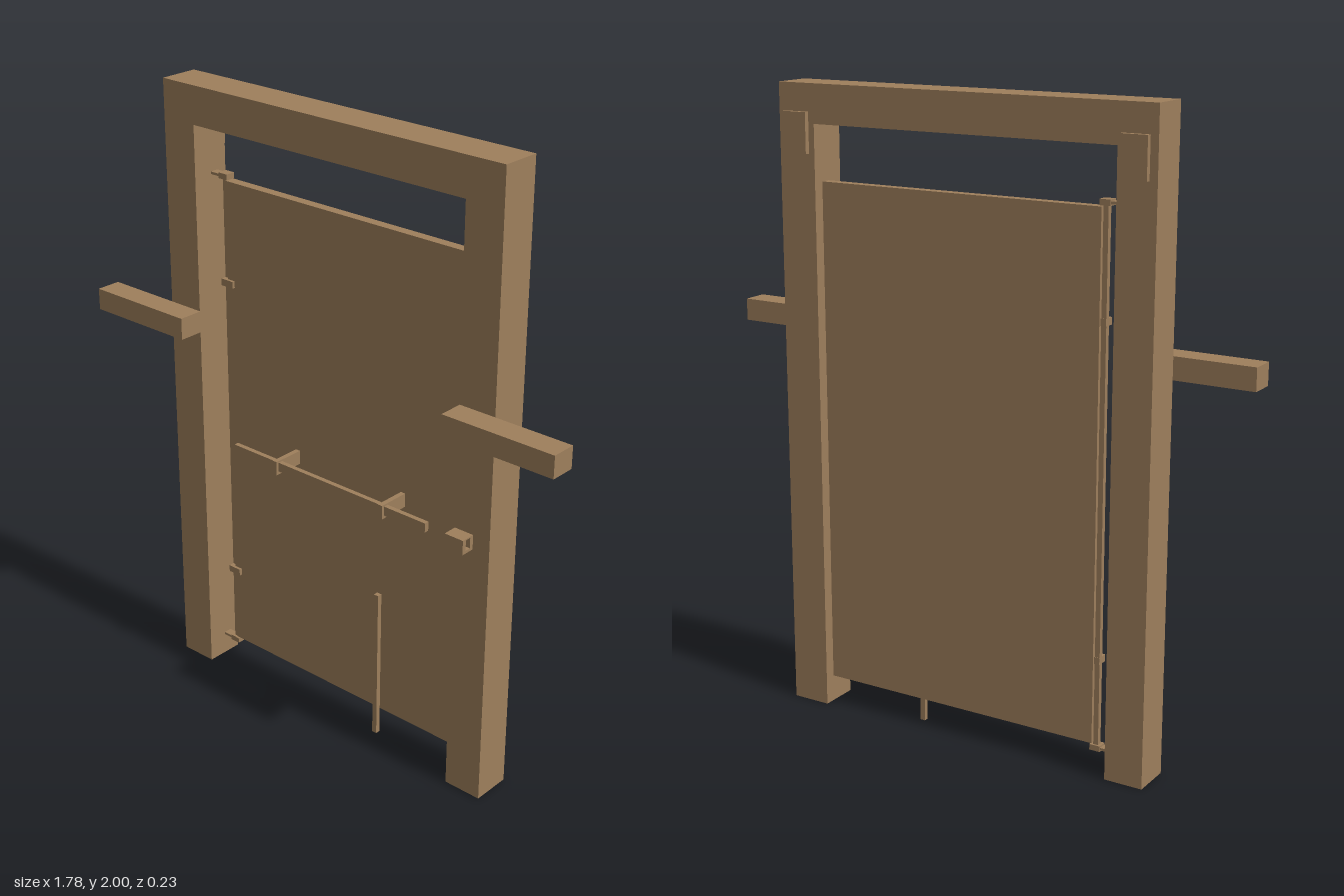
import * as THREE from 'three';

export function createModel() {
  const group = new THREE.Group();
  const wood = new THREE.MeshStandardMaterial({ color: 0x9e7f5c });
  wood.name = 'weathered wood';

  const add = (name, geometry) => {
    const mesh = new THREE.Mesh(geometry, wood);
    mesh.name = name;
    group.add(mesh);
    return mesh;
  };

  // Box given by its lower and upper limits on each axis
  const box = (name, x0, x1, y0, y1, z0, z1) => {
    const g = new THREE.BoxGeometry(x1 - x0, y1 - y0, z1 - z0);
    g.translate((x0 + x1) / 2, (y0 + y1) / 2, (z0 + z1) / 2);
    return add(name, g);
  };

  const outline = (points) => new THREE.Shape(points.map(([x, y]) => new THREE.Vector2(x, y)));

  // Door frame: two posts and a lintel in one piece
  const frame = outline([
    [-0.638, 0], [-0.514, 0], [-0.514, 1.88], [0.508, 1.88],
    [0.508, 0], [0.635, 0], [0.635, 2], [-0.638, 2],
  ]);
  const frameGeometry = new THREE.ExtrudeGeometry(frame, { depth: 0.128, bevelEnabled: false });
  frameGeometry.translate(0, 0, -0.098);
  add('doorFrame', frameGeometry);

  // Door leaf and the stop strip at its free edge
  box('doorPanel', -0.453, 0.503, 0.09, 1.705, -0.068, -0.036);
  box('doorStop', 0.487, 0.508, 0.6, 1.19, -0.036, -0.022);

  // Side beams on the front, mounting plates on the back
  for (const [side, s] of [['left', 1], ['right', -1]]) {
    const beam = [s * 0.512, s * 0.892].sort((a, b) => a - b);
    box(side + 'Beam', ...beam, 1.215, 1.285, 0.03, 0.112);
    const plate = [s * 0.528, s * 0.613].sort((a, b) => a - b);
    box(side + 'BackPlate', ...plate, 1.79, 1.915, -0.114, -0.098);
  }

  // Hinge pole held by a hook at each end and clipped to the door
  box('hingePole', -0.471, -0.455, 0.07, 1.72, -0.06, -0.044);
  for (const [name, y] of [['upper', 1.717], ['lower', 0.076]]) {
    box(name + 'HookArm', -0.514, -0.478, y - 0.004, y + 0.004, -0.064, -0.036);
    box(name + 'HookCap', -0.48, -0.445, y - 0.009, y + 0.009, -0.066, -0.034);
  }
  for (const [name, y] of [['upper', 1.378], ['lower', 0.355]]) {
    box(name + 'HingeClip', -0.471, -0.424, y - 0.011, y + 0.011, -0.062, -0.026);
  }

  // Sliding bar and the brackets carrying it
  box('slidingBar', -0.345, 0.425, 0.86, 0.89, 0.045, 0.061);
  for (const x of [-0.163, 0.262]) {
    box('barBracket', x - 0.008, x + 0.008, 0.85, 0.895, -0.036, 0.07);
  }

  // Hollow catch on the post that receives the bar
  const catchShape = outline([[-0.077, 0.849], [-0.03, 0.849], [-0.03, 0.896], [-0.077, 0.896]]);
  catchShape.holes.push(outline([[-0.063, 0.858], [-0.063, 0.892], [-0.043, 0.892], [-0.043, 0.858]]));
  const catchGeometry = new THREE.ExtrudeGeometry(catchShape, { depth: 0.066, bevelEnabled: false });
  catchGeometry.rotateY(Math.PI / 2);
  catchGeometry.translate(0.51, 0, 0);
  add('barCatch', catchGeometry);

  // Drop bolt reaching the ground
  box('dropBolt', 0.167, 0.184, 0, 0.512, -0.036, -0.02);

  return group;
}
